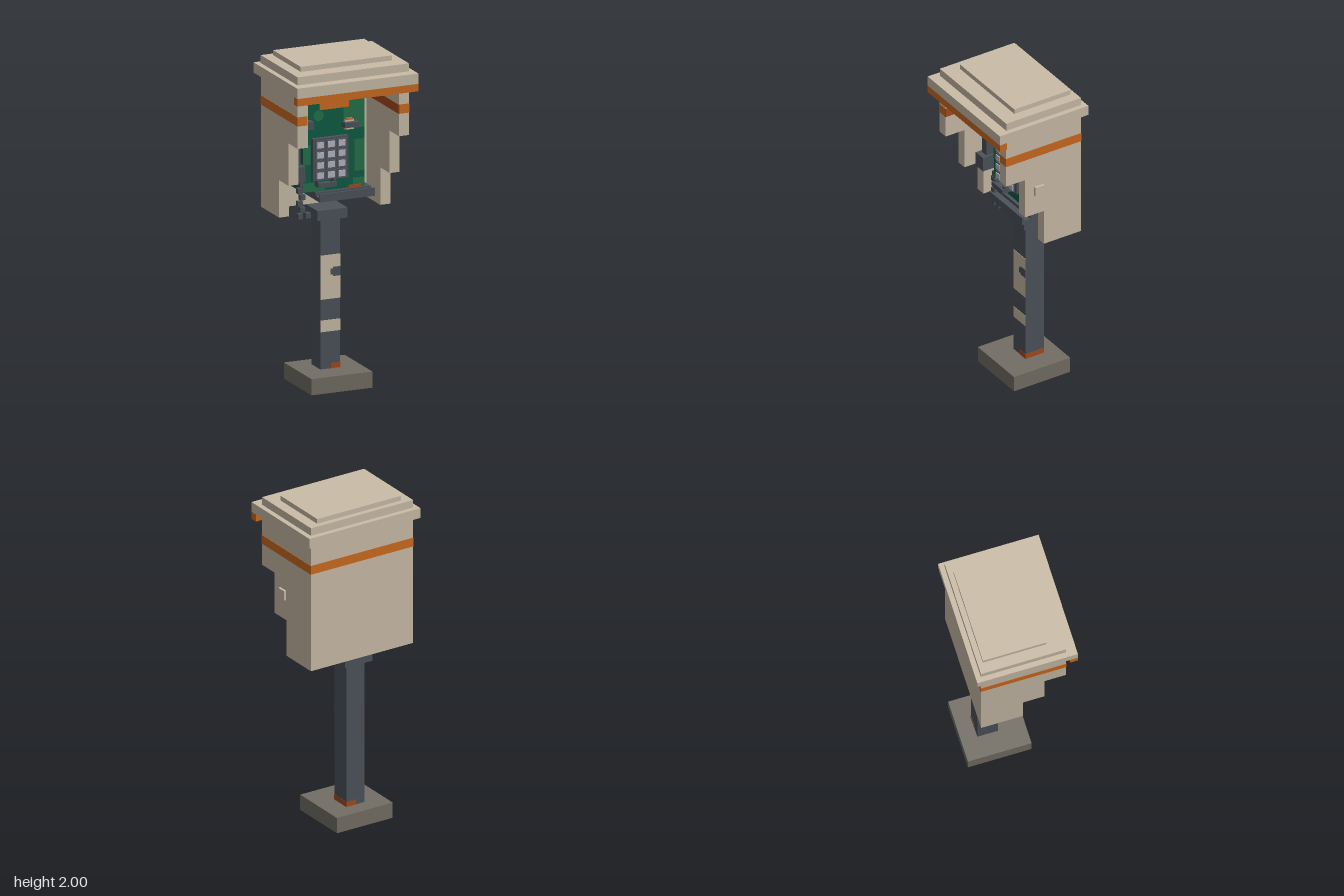
import * as THREE from 'three';

const mat = (name, hex) => {
  const m = new THREE.MeshStandardMaterial({ color: hex });
  m.name = name;
  return m;
};

export function createModel() {
  const cream = mat('cream', 0xcabda8);
  const orange = mat('orange', 0xcc6b20);
  const rust = mat('rust', 0xa54a1c);
  const dark = mat('dark grey', 0x4c535b);
  const frame = mat('frame grey', 0x5b5a66);
  const keyGrey = mat('key grey', 0xb3b9c4);
  const stone = mat('stone', 0x736e64);
  const green = mat('deep green', 0x0c5c44);
  const lightGreen = mat('light green', 0x237049);

  const model = new THREE.Group();
  model.name = 'payphone';
  const group = (name) => {
    const g = new THREE.Group();
    g.name = name;
    model.add(g);
    return g;
  };
  // Box given by its extents on each axis
  const box = (parent, name, m, x0, x1, y0, y1, z0, z1) => {
    const mesh = new THREE.Mesh(new THREE.BoxGeometry(x1 - x0, y1 - y0, z1 - z0), m);
    mesh.position.set((x0 + x1) / 2, (y0 + y1) / 2, (z0 + z1) / 2);
    mesh.name = name;
    parent.add(mesh);
    return mesh;
  };

  // Base and pole
  const stand = group('stand');
  box(stand, 'base', stone, -0.193, 0.193, 0, 0.097, -0.302, 0.083);
  box(stand, 'pole', dark, -0.063, 0.063, 0.097, 1.0, -0.205, -0.08);
  box(stand, 'poleBracket', dark, -0.095, 0.095, 1.0, 1.06, -0.238, -0.047);
  for (const [y0, y1] of [[0.515, 0.78], [0.32, 0.39]])
    box(stand, 'poleStripe', cream, -0.063, 0.063, y0, y1, -0.081, -0.078);
  box(stand, 'poleChip', dark, 0.015, 0.063, 0.65, 0.705, -0.079, -0.076);
  box(stand, 'poleChipEdge', dark, 0, 0.015, 0.66, 0.695, -0.079, -0.076);
  box(stand, 'poleRust', rust, 0, 0.065, 0.097, 0.128, -0.207, -0.078);

  // Hood: stepped side walls and a back wall
  const hood = group('hood');
  const profile = new THREE.Shape([
    [-0.272, 1.06], [-0.018, 1.06], [-0.018, 1.285], [0.112, 1.285],
    [0.112, 1.54], [0.241, 1.54], [0.241, 1.86], [-0.272, 1.86],
  ].map(([z, y]) => new THREE.Vector2(z, y)));
  const wallGeo = new THREE.ExtrudeGeometry(profile, { depth: 0.064, bevelEnabled: false });
  wallGeo.rotateY(-Math.PI / 2).translate(0.032, 0, 0);
  for (const s of [-1, 1]) {
    const wall = new THREE.Mesh(wallGeo, cream);
    wall.name = 'sideWall';
    wall.position.x = s * 0.321;
    hood.add(wall);
    // Painted band outside, and its worn inner face
    const band = box(hood, 'sideBand', orange, -0.032, 0.032, 1.675, 1.73, -0.274, 0.243);
    band.position.x = s * 0.323;
    const inner = box(hood, 'innerSideBand', rust, -0.002, 0.002, 1.675, 1.73, -0.208, 0.241);
    inner.position.x = s * 0.288;
  }
  box(hood, 'backWall', cream, -0.289, 0.289, 1.06, 1.86, -0.272, -0.208);
  box(hood, 'backBand', orange, -0.3, 0.3, 1.675, 1.73, -0.274, -0.268);
  box(hood, 'innerBackBand', rust, -0.289, 0.289, 1.675, 1.73, -0.21, -0.206);
  box(hood, 'sideButton', cream, 0.35, 0.368, 1.413, 1.472, -0.013, 0.048);

  // Stepped roof with a front fascia
  const roof = group('roof');
  box(roof, 'roofEave', cream, -0.384, 0.384, 1.86, 1.922, -0.304, 0.304);
  box(roof, 'roofStep', cream, -0.353, 0.353, 1.922, 1.97, -0.273, 0.24);
  box(roof, 'roofTop', cream, -0.289, 0.289, 1.97, 2.0, -0.241, 0.143);
  box(roof, 'roofFascia', orange, -0.384, 0.384, 1.815, 1.86, 0.257, 0.304);

  // Phone body with paler patches of paint
  const phone = group('phone');
  box(phone, 'phoneBody', green, -0.195, 0.193, 1.185, 1.797, -0.208, -0.03);
  for (const [x0, x1, y0, y1] of [
    [0.09, 0.193, 1.67, 1.797], [0.06, 0.193, 1.54, 1.67], [0.13, 0.193, 1.28, 1.47],
    [-0.195, -0.15, 1.35, 1.47], [-0.195, -0.06, 1.188, 1.24], [0.12, 0.193, 1.188, 1.24],
  ]) box(phone, 'palePatch', lightGreen, x0, x1, y0, y1, -0.032, -0.028);
  const spot = new THREE.Mesh(new THREE.CylinderGeometry(0.034, 0.034, 0.004, 8), lightGreen);
  spot.name = 'paleSpot';
  spot.rotation.x = Math.PI / 2;
  spot.position.set(-0.097, 1.638, -0.03);
  phone.add(spot);
  box(phone, 'display', orange, -0.095, 0.09, 1.675, 1.765, -0.04, -0.015);

  // Keypad
  box(phone, 'keypadPlate', dark, -0.145, 0.08, 1.255, 1.508, -0.04, -0.005);
  for (let row = 0; row < 4; row++) {
    for (let col = 0; col < 3; col++) {
      const x = -0.1 + col * 0.069, y = 1.47 - row * 0.061;
      box(phone, 'keyFrame', frame, x - 0.03, x + 0.03, y - 0.027, y + 0.027, -0.01, 0);
      box(phone, 'key', keyGrey, x - 0.021, x + 0.021, y - 0.018, y + 0.018, -0.01, 0.006);
    }
  }
  // Cup below the keypad
  box(phone, 'cupFloor', dark, -0.125, -0.008, 1.222, 1.24, -0.04, 0.033);
  box(phone, 'cupFront', dark, -0.125, -0.008, 1.222, 1.25, 0.018, 0.033);
  for (const x of [-0.125, -0.026])
    box(phone, 'cupSide', dark, x, x + 0.018, 1.222, 1.265, -0.04, 0.02);

  // Coin slot and cradle hook
  box(phone, 'coinSlotPlate', cream, 0.065, 0.12, 1.54, 1.597, -0.04, -0.01);
  box(phone, 'coinSlotTop', orange, 0.07, 0.112, 1.597, 1.607, -0.04, -0.01);
  box(phone, 'coinSlot', dark, 0.05, 0.138, 1.557, 1.587, -0.04, 0.018);
  box(phone, 'cradleHook', dark, -0.21, -0.147, 1.573, 1.62, -0.05, 0.018);

  // Tray with a raised lip
  box(phone, 'tray', dark, -0.125, 0.225, 1.14, 1.165, -0.208, 0.048);
  box(phone, 'trayLip', dark, -0.125, 0.225, 1.165, 1.188, 0.036, 0.048);
  box(phone, 'trayBack', dark, -0.125, 0.225, 1.165, 1.185, -0.208, -0.01);
  box(phone, 'coinFlap', rust, 0.09, 0.17, 1.185, 1.2, -0.035, -0.022);

  // Handset and its cord of small links
  const handset = group('handset');
  box(handset, 'earpiece', dark, -0.289, -0.21, 1.67, 1.78, -0.045, 0.035);
  box(handset, 'handle', dark, -0.275, -0.225, 1.36, 1.67, -0.045, 0.002);
  box(handset, 'mouthpiece', dark, -0.289, -0.21, 1.272, 1.362, -0.045, 0.035);
  for (const [x, y] of [[-0.2, 1.237], [-0.212, 1.198], [-0.196, 1.158], [-0.211, 1.12],
    [-0.195, 1.083], [-0.21, 1.045], [-0.161, 1.045]])
    box(handset, 'cordLink', dark, x - 0.015, x + 0.015, y - 0.016, y + 0.016, -0.06, -0.03);

  return model;
}
